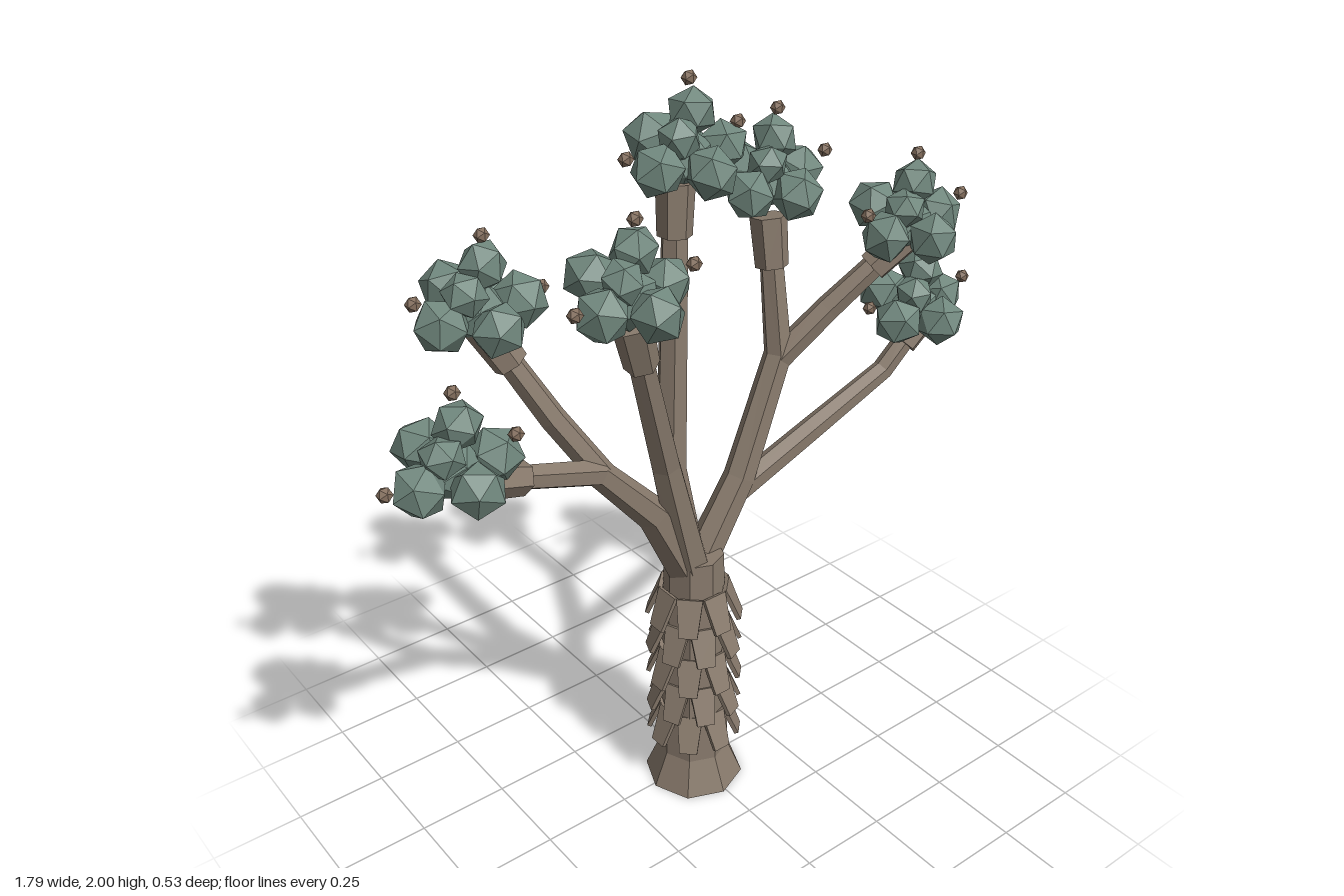
import * as THREE from 'three';

const V = (a) => new THREE.Vector3(...a);
const UP = new THREE.Vector3(0, 1, 0);

// Faceted tube through points, with a radius at each point and mitred joints
function limbGeometry(points, radii, sides = 6) {
  const pts = points.map(V), pos = [], index = [];
  pts.forEach((p, i) => {
    const t = new THREE.Vector3();
    if (i > 0) t.add(p.clone().sub(pts[i - 1]).normalize());
    if (i < pts.length - 1) t.add(pts[i + 1].clone().sub(p).normalize());
    t.normalize();
    const u = new THREE.Vector3().crossVectors(t, new THREE.Vector3(0, 0, 1)).normalize();
    const v = new THREE.Vector3().crossVectors(t, u);
    for (let k = 0; k < sides; k++) {
      const a = (k / sides) * Math.PI * 2;
      const q = p.clone().addScaledVector(u, radii[i] * Math.cos(a)).addScaledVector(v, radii[i] * Math.sin(a));
      pos.push(q.x, q.y, q.z);
      if (i < pts.length - 1) {
        const b = i * sides, n = (k + 1) % sides;
        index.push(b + k, b + n, b + sides + k, b + n, b + sides + n, b + sides + k);
      }
    }
  });
  const g = new THREE.BufferGeometry();
  g.setAttribute('position', new THREE.Float32BufferAttribute(pos, 3));
  g.setIndex(index);
  const flat = g.toNonIndexed();
  flat.computeVertexNormals();
  return flat;
}

// Limbs: path, radii, and whether the end carries a collar
const LIMBS = [
  { name: 'leftLimb', path: [[-0.02, 0.68, 0.01], [-0.15, 0.93, 0.02], [-0.31, 1.11, 0.02], [-0.56, 1.195, 0.035]], r: [0.055, 0.045, 0.036, 0.031] },
  { name: 'leftUpperLimb', path: [[-0.29, 1.09, 0.02], [-0.39, 1.26, -0.04], [-0.48, 1.44, -0.1]], r: [0.034, 0.033, 0.03] },
  { name: 'frontLimb', path: [[-0.02, 0.68, 0.02], [-0.13, 1.08, 0.05], [-0.24, 1.44, 0.1]], r: [0.055, 0.04, 0.034] },
  { name: 'centreLimb', path: [[-0.01, 0.68, 0], [-0.06, 1.02, -0.02], [-0.02, 1.66, -0.05]], r: [0.05, 0.042, 0.034] },
  { name: 'rightLimb', path: [[0, 0.68, 0], [0.15, 0.92, 0], [0.29, 1.23, -0.02], [0.29, 1.5, -0.06]], r: [0.05, 0.043, 0.038, 0.031] },
  { name: 'rightUpperLimb', path: [[0.28, 1.21, -0.02], [0.41, 1.34, 0.03], [0.54, 1.47, 0.09]], r: [0.036, 0.034, 0.03] },
  { name: 'rightLowerLimb', path: [[0.12, 0.87, 0], [0.38, 0.99, 0.02], [0.63, 1.095, 0.03], [0.72, 1.19, 0.04]], r: [0.036, 0.033, 0.029, 0.028] },
];

// Leaf heads: centre, and bud positions (top, left, right)
const HEADS = [
  { c: [-0.70, 1.29, 0.04], buds: [[-0.68, 1.45, 0.03], [-0.88, 1.29, 0.07], [-0.56, 1.33, 0.08]], turn: 0 },
  { c: [-0.52, 1.56, -0.12], buds: [[-0.49, 1.71, -0.13], [-0.685, 1.61, -0.1], [-0.37, 1.57, -0.09]], turn: -0.1 },
  { c: [-0.28, 1.61, 0.12], buds: [[-0.26, 1.77, 0.125], [-0.445, 1.61, 0.16], [-0.135, 1.65, 0.17]], turn: 0.1 },
  { c: [0.01, 1.82, -0.05], buds: [[0.03, 1.98, -0.06], [-0.17, 1.84, -0.03], [0.15, 1.865, -0.03]], turn: 0 },
  { c: [0.30, 1.69, -0.09], buds: [[0.325, 1.85, -0.09], [0.135, 1.73, -0.05], [0.45, 1.73, -0.05]], turn: 0.15 },
  { c: [0.59, 1.57, 0.11], buds: [[0.615, 1.73, 0.11], [0.425, 1.62, 0.14], [0.74, 1.61, 0.15]], turn: 0 },
  { c: [0.72, 1.28, 0.04], buds: [[0.75, 1.42, 0.03], [0.575, 1.29, 0.02], [0.873, 1.32, 0.07]], turn: 0.1 },
];

// Leaf tufts around each centre: offset and radius
const TUFTS = [
  [[0, -0.02, 0], 0.075], [[0.02, 0.085, 0], 0.062], [[-0.10, -0.02, 0.03], 0.068],
  [[0.10, -0.01, 0.01], 0.068], [[-0.03, 0.015, -0.085], 0.07], [[0.01, -0.035, 0.085], 0.068],
  [[0.06, -0.03, -0.06], 0.062], [[-0.04, 0.04, 0.03], 0.055],
];

export function createModel() {
  const mat = (name, color) => {
    const m = new THREE.MeshStandardMaterial({ color, flatShading: true });
    m.name = name;
    return m;
  };
  const bark = mat('bark', 0x887a6c);
  const leaf = mat('leaf', 0x70877d);
  const budBrown = mat('bud brown', 0x85705f);

  const model = new THREE.Group();
  model.name = 'desertTree';
  const add = (parent, geometry, material, name, at = [0, 0, 0]) => {
    const m = new THREE.Mesh(geometry, material);
    m.name = name;
    m.position.set(...at);
    parent.add(m);
    return m;
  };

  // Trunk with flared foot
  const profile = [[0, 0], [0.138, 0], [0.097, 0.1], [0.08, 0.75], [0, 0.75]];
  add(model, new THREE.LatheGeometry(profile.map((p) => new THREE.Vector2(...p)), 8), bark, 'trunk', [-0.01, 0, 0.01]);

  // Staggered rows of hanging bark plates, narrower at the lower end
  const plate = new THREE.BoxGeometry(0.07, 0.105, 0.012);
  const pp = plate.attributes.position;
  for (let i = 0; i < pp.count; i++) if (pp.getY(i) < 0) pp.setX(i, pp.getX(i) * 0.7);
  const plates = new THREE.Group();
  plates.name = 'barkPlates';
  plates.position.set(-0.01, 0, 0.01);
  model.add(plates);
  for (let row = 0; row < 5; row++) {
    for (let k = 0; k < 8; k++) {
      const a = ((k + (row % 2) * 0.5) / 8) * Math.PI * 2;
      const m = add(plates, plate, bark, 'barkPlate', [Math.sin(a) * 0.105, 0.205 + row * 0.1, Math.cos(a) * 0.105]);
      m.rotation.set(-0.38, a, 0, 'YXZ');
    }
  }

  // Limbs, each ending in a wider collar
  LIMBS.forEach(({ name, path, r }) => {
    add(model, limbGeometry(path, r), bark, name);
    const end = V(path.at(-1));
    const dir = end.clone().sub(V(path.at(-2))).normalize();
    const at = end.clone().addScaledVector(dir, 0.025);
    const collar = add(model, new THREE.CylinderGeometry(0.048, 0.043, 0.13, 6), bark, 'collar', at.toArray());
    collar.quaternion.setFromUnitVectors(UP, dir);
  });

  // Leaf heads: clustered tufts with small buds
  HEADS.forEach(({ c, buds, turn }, h) => {
    const head = new THREE.Group();
    head.name = 'leafHead';
    head.position.set(...c);
    head.rotation.y = turn;
    model.add(head);
    TUFTS.forEach(([at, radius], i) => {
      const tuft = add(head, new THREE.IcosahedronGeometry(radius, 0), leaf, 'leafTuft', at);
      tuft.scale.y = 0.92;
      tuft.rotation.set(i * 1.3 + h * 0.7, i * 2.1 + h, i * 0.9);
    });
    buds.forEach((at) => add(model, new THREE.IcosahedronGeometry(0.019, 0), budBrown, 'bud', at));
  });

  return model;
}
